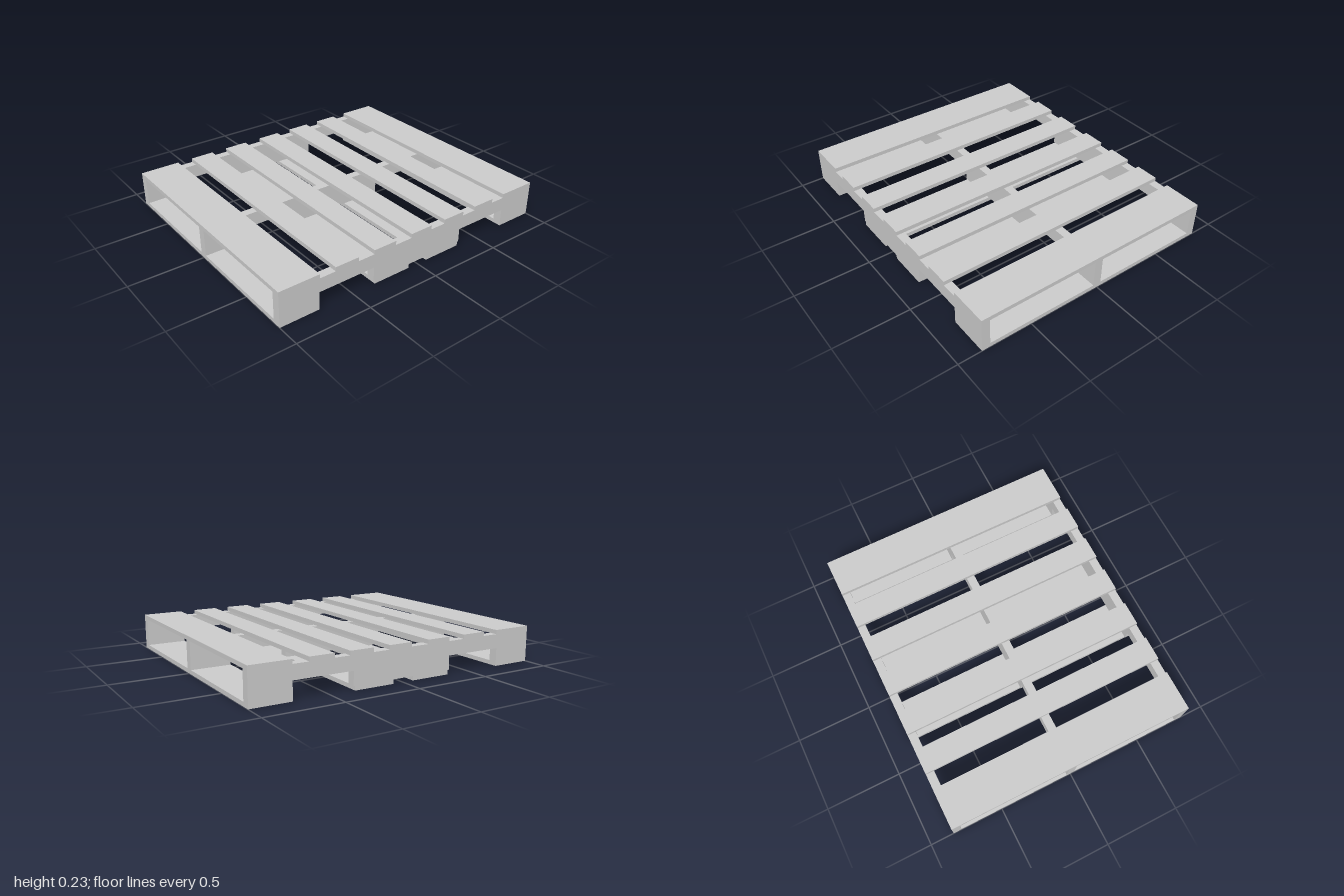
import * as THREE from 'three';

const WIDTH = 1.684, HEIGHT = 0.235, BOARD = 0.027, STRINGER = 0.056;

export function createModel() {
  const pallet = new THREE.Group();
  pallet.name = 'pallet';
  const material = new THREE.MeshStandardMaterial({ color: 0xcccccc, flatShading: true });

  const add = (name, geometry, x, y, z) => {
    const mesh = new THREE.Mesh(geometry, material);
    mesh.name = name;
    mesh.position.set(x, y, z);
    pallet.add(mesh);
  };

  // Full-width boards, given by their z extents
  const addBoards = (name, spans, y) => spans.forEach(([z0, z1], i) =>
    add(name + (i + 1), new THREE.BoxGeometry(WIDTH, BOARD, z1 - z0), 0, y, (z0 + z1) / 2));

  // Top deck: wide end boards with five narrow slats between
  addBoards('deckBoard', [
    [-1, -0.737], [-0.633, -0.472], [-0.37, -0.21], [-0.1, 0.06],
    [0.183, 0.345], [0.459, 0.623], [0.729, 1],
  ], HEIGHT - BOARD / 2);

  // Bottom boards: one at each end and a pair in the middle
  addBoards('bottomBoard', [[-1, -0.736], [-0.337, -0.07], [0.072, 0.338], [0.736, 1]], BOARD / 2);

  // Stringers: side profile with two fork notches, extruded across x
  const low = BOARD, high = HEIGHT - BOARD, notch = 0.117;
  const profile = new THREE.Shape([
    [-1, low], [-0.736, low], [-0.736, notch], [-0.347, notch], [-0.347, low],
    [0.347, low], [0.347, notch], [0.736, notch], [0.736, low], [1, low],
    [1, high], [-1, high],
  ].map(([z, y]) => new THREE.Vector2(z, y)));
  const stringer = new THREE.ExtrudeGeometry(profile, { depth: STRINGER, bevelEnabled: false });
  stringer.translate(0, 0, -STRINGER / 2).rotateY(-Math.PI / 2);

  const side = (WIDTH - STRINGER) / 2;
  add('rightStringer', stringer, -side, 0, 0);
  add('middleStringer', stringer, 0, 0, 0);
  add('leftStringer', stringer, side, 0, 0);

  return pallet;
}
